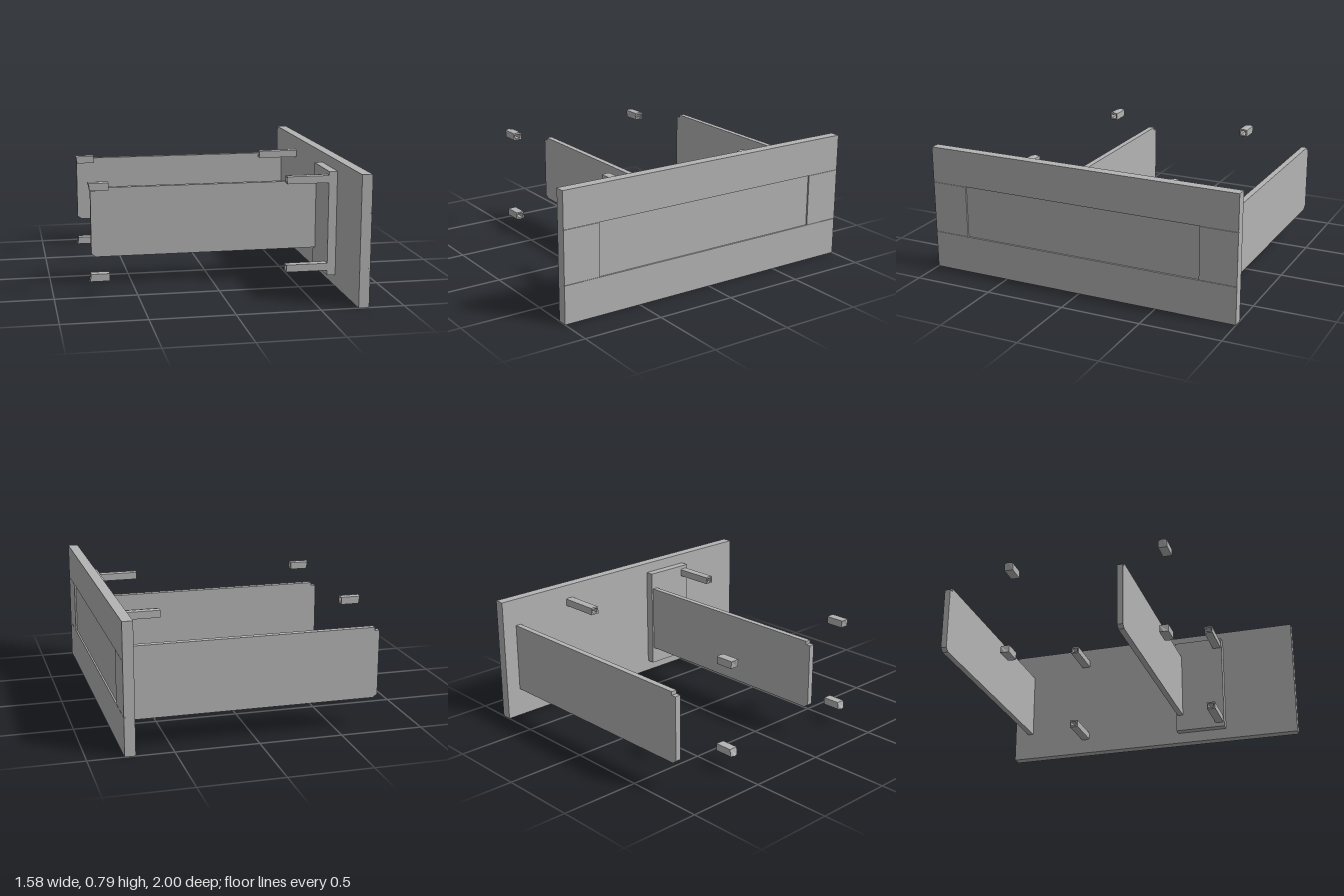
import * as THREE from 'three';

const wood = new THREE.MeshStandardMaterial({ color: 0xb4b4b4 });
wood.name = 'plain grey';

export function createModel() {
  const model = new THREE.Group();
  model.name = 'drawerParts';

  const add = (name, geometry, parent = model) => {
    const mesh = new THREE.Mesh(geometry, wood);
    mesh.name = name;
    parent.add(mesh);
    return mesh;
  };
  // box given by its limits on each axis
  const block = (name, x0, x1, y0, y1, z0, z1, parent) => {
    const mesh = add(name, new THREE.BoxGeometry(x1 - x0, y1 - y0, z1 - z0), parent);
    mesh.position.set((x0 + x1) / 2, (y0 + y1) / 2, (z0 + z1) / 2);
  };

  // framed front panel: backing, rails, stiles and a slightly sunk centre
  const panel = new THREE.Group();
  panel.name = 'framedPanel';
  model.add(panel);
  const gap = 0.002;
  block('panelCore', 0.724, 0.777, 0, 0.785, -1, 1, panel);
  block('bottomRail', 0.777, 0.787, 0, 0.233, -1, 1, panel);
  block('topRail', 0.777, 0.787, 0.56, 0.785, -1, 1, panel);
  for (const [z0, z1] of [[-1, -0.77], [0.77, 1]])
    block('stile', 0.777, 0.787, 0.233 + gap, 0.56 - gap, z0, z1, panel);

  // mounting plate behind the panel
  block('mountingPlate', 0.672, 0.724, 0.07, 0.72, 0.19, 0.52);

  // long boards with a notched upper corner and a cut lower corner
  const board = (endX, z) => {
    const outline = new THREE.Shape([
      [-0.725, 0.18], [endX, 0.18], [endX, 0.613], [-0.722, 0.613],
      [-0.722, 0.592], [-0.752, 0.592], [-0.752, 0.2],
    ].map(([x, y]) => new THREE.Vector2(x, y)));
    add('sideBoard', new THREE.ExtrudeGeometry(outline, { depth: 0.036, bevelEnabled: false }))
      .position.z = z - 0.018;
  };
  board(0.672, 0.218);
  board(0.724, -0.888);

  // pegs: slightly ridged square bars, hollow at one end
  const section = (hollow) => {
    const shape = new THREE.Shape([
      [-0.027, -0.023], [0.027, -0.023], [0.027, 0.022], [0, 0.026], [-0.027, 0.022],
    ].map(([x, y]) => new THREE.Vector2(x, y)));
    if (hollow) shape.holes.push(new THREE.Path([
      [-0.018, -0.014], [-0.018, 0.014], [0.018, 0.014], [0.018, -0.014],
    ].map(([x, y]) => new THREE.Vector2(x, y))));
    return shape;
  };
  const bar = (name, x0, x1, hollow, tapered, lower, parent) => {
    const g = new THREE.ExtrudeGeometry(section(hollow), { depth: x1 - x0, bevelEnabled: false });
    g.rotateY(Math.PI / 2);
    g.translate(x0, 0, 0);
    if (tapered) {
      // draw back the end face everywhere except at its ridge
      const p = g.attributes.position;
      for (let i = 0; i < p.count; i++)
        if (p.getX(i) < x0 + 1e-4 && p.getY(i) < 0.025)
          p.setX(i, x0 + (p.getY(i) > 0 ? 0.006 : 0.012));
      g.computeVertexNormals();
    }
    if (lower) g.rotateX(Math.PI);
    add(name, g, parent);
  };
  for (const z of [0.487, -0.478]) {
    const rootX = z > 0 ? 0.672 : 0.724;
    const tipX = z > 0 ? 0.415 : 0.465;
    for (const lower of [false, true]) {
      const pegs = new THREE.Group();
      pegs.name = lower ? 'lowerPegs' : 'upperPegs';
      pegs.position.set(0, lower ? 0.122 : 0.672, z);
      model.add(pegs);
      bar('shortPegTip', -0.79, -0.74, false, true, lower, pegs);
      bar('shortPegSocket', -0.74, -0.667, true, false, lower, pegs);
      bar('longPegSocket', tipX, tipX + 0.08, true, false, lower, pegs);
      bar('longPegBody', tipX + 0.08, rootX, false, false, lower, pegs);
    }
  }
  return model;
}
